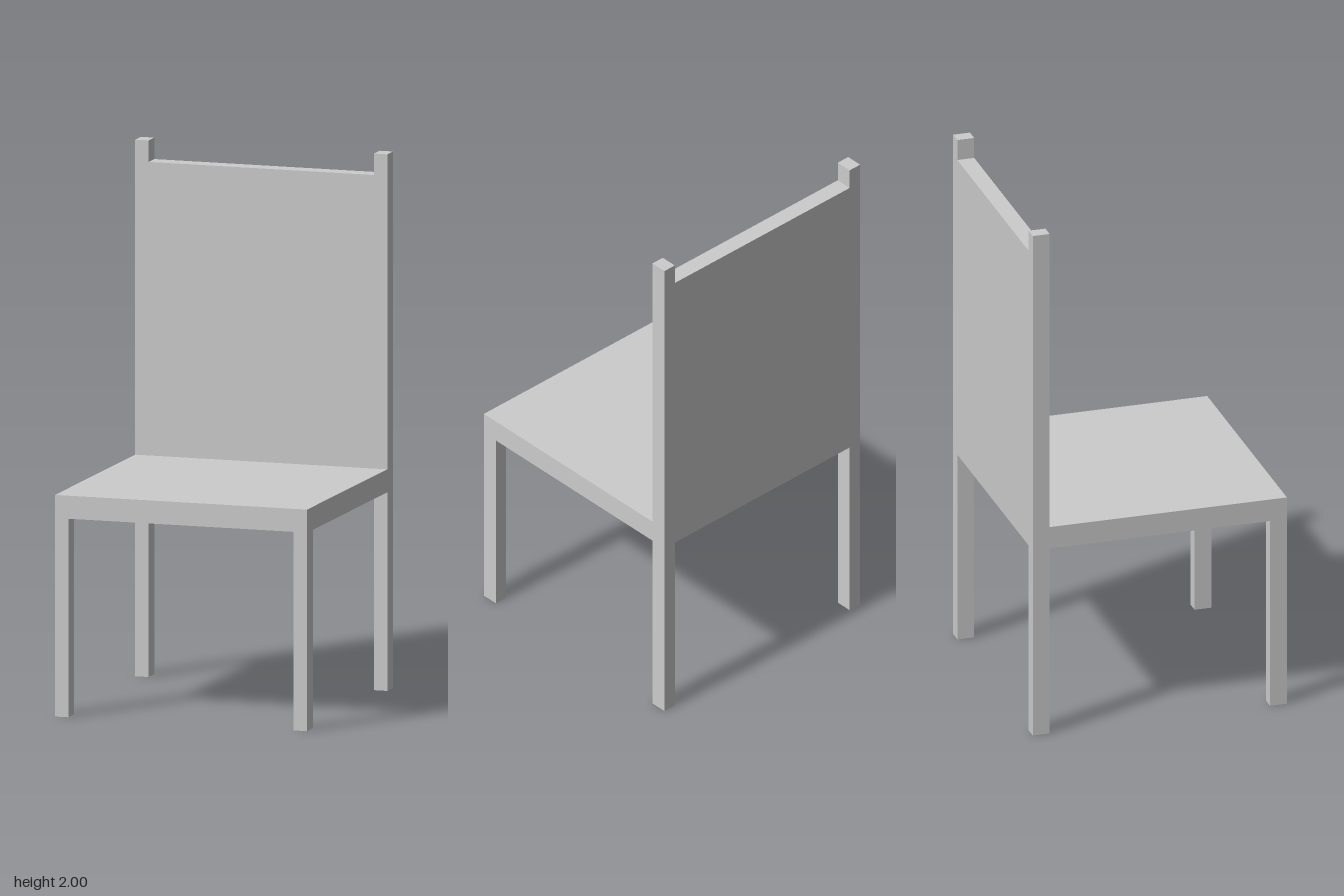
import * as THREE from 'three';

const HALF = 0.489;                    // half width and half depth
const POST_W = 0.052, POST_D = 0.065;  // leg and post section
const SEAT_BOTTOM = 0.74, SEAT_TOP = 0.826;
const PANEL_TOP = 1.92, POST_TOP = 2;

export function createModel() {
  const chair = new THREE.Group();
  chair.name = 'chair';
  const material = new THREE.MeshStandardMaterial({ color: 0xcccccc, flatShading: true });

  // Box centred at (x, z), spanning y0 to y1
  function addBox(name, x, z, y0, y1, width, depth) {
    const mesh = new THREE.Mesh(new THREE.BoxGeometry(width, y1 - y0, depth), material);
    mesh.name = name;
    mesh.position.set(x, (y0 + y1) / 2, z);
    chair.add(mesh);
  }

  const postX = HALF - POST_W / 2, postZ = HALF - POST_D / 2;

  addBox('seat', 0, 0, SEAT_BOTTOM, SEAT_TOP, HALF * 2, HALF * 2);

  // Legs below the seat, back posts above it
  for (const [side, sx] of [['left', 1], ['right', -1]]) {
    addBox(side + 'FrontLeg', sx * postX, postZ, 0, SEAT_BOTTOM, POST_W, POST_D);
    addBox(side + 'BackLeg', sx * postX, -postZ, 0, SEAT_BOTTOM, POST_W, POST_D);
    addBox(side + 'BackPost', sx * postX, -postZ, SEAT_TOP, POST_TOP, POST_W, POST_D);
  }

  // Solid backrest flush with the posts
  addBox('backPanel', 0, -postZ, SEAT_TOP, PANEL_TOP, 2 * (HALF - POST_W), POST_D);

  return chair;
}
